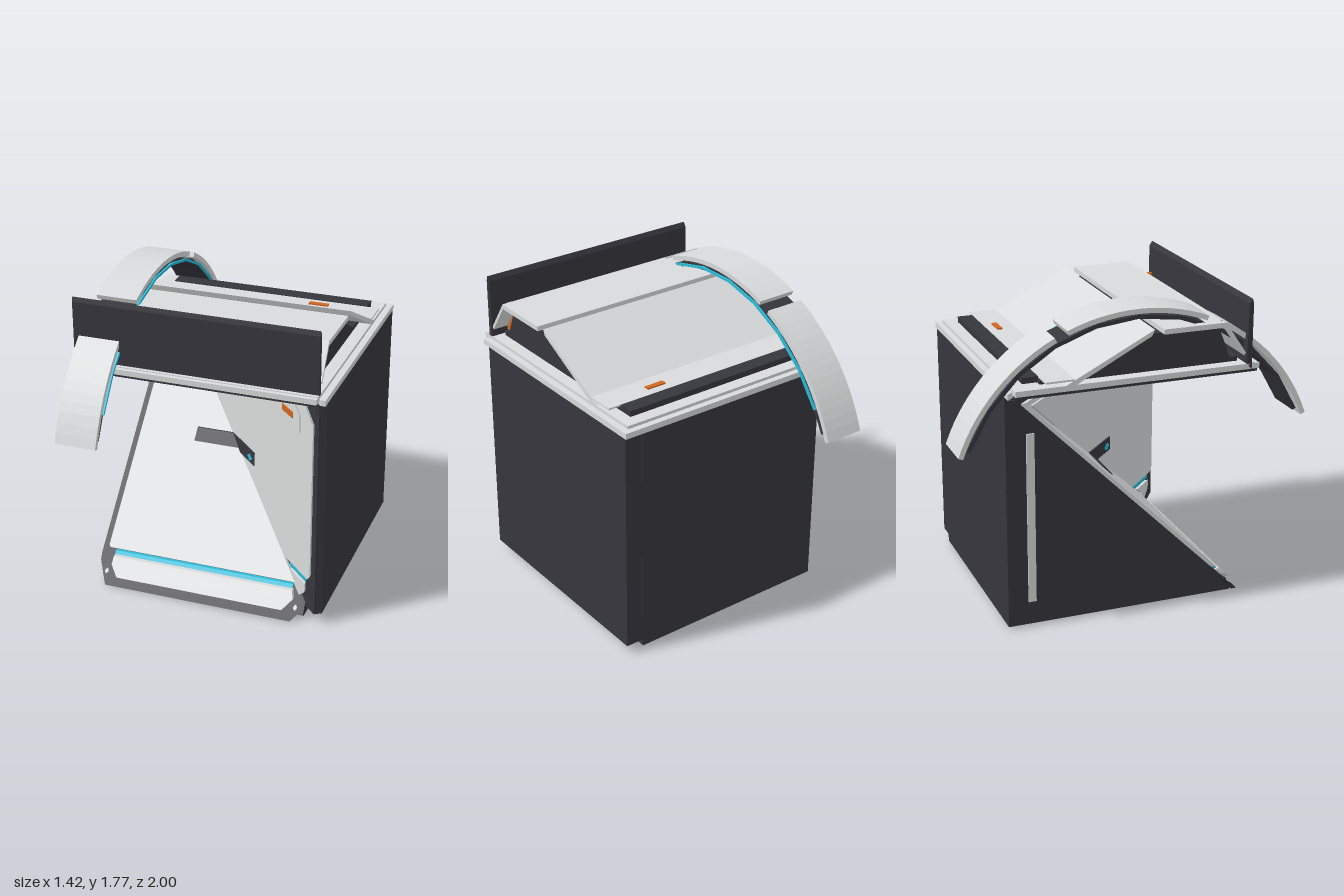
import * as THREE from 'three';

const mat = (name, color) => {
  const m = new THREE.MeshStandardMaterial({ color });
  m.name = name;
  return m;
};

export function createModel() {
  const root = new THREE.Group();
  root.name = 'openCubeShelter';
  const dark = mat('charcoal', 0x36363d);
  const light = mat('lightGrey', 0xd8dadb);
  const cyan = mat('cyan', 0x2abbd8);
  const orange = mat('orange', 0xd4661e);

  const add = (name, geo, material) => {
    const m = new THREE.Mesh(geo, material);
    m.name = name;
    root.add(m);
    return m;
  };
  const shape = pts => new THREE.Shape(pts.map(p => new THREE.Vector2(p[0], p[1])));
  const extrude = (pts, depth) =>
    new THREE.ExtrudeGeometry(shape(pts), { depth, bevelEnabled: false, curveSegments: 1 });
  const rect = (x0, x1, y0, y1) => [[x0, y0], [x1, y0], [x1, y1], [x0, y1]];

  // Box given by its limits
  const box = (name, x0, x1, y0, y1, z0, z1, material) =>
    add(name, new THREE.BoxGeometry(x1 - x0, y1 - y0, z1 - z0)
      .translate((x0 + x1) / 2, (y0 + y1) / 2, (z0 + z1) / 2), material);
  // Side profile of [z, y] points, spanning x0 to x1
  const acrossX = (name, pts, x0, x1, material) =>
    add(name, extrude(pts.map(([z, y]) => [-z, y]), x1 - x0)
      .rotateY(Math.PI / 2).translate(x0, 0, 0), material);
  // Plan outline of [x, z] points, spanning y0 to y1
  const upright = (name, pts, y0, y1, material) =>
    add(name, extrude(pts.map(([x, z]) => [x, -z]), y1 - y0)
      .rotateX(-Math.PI / 2).translate(0, y0, 0), material);
  // Plate drawn as a front outline, then sheared onto a slanted plane
  const sheared = (name, pts, z0, z1, material, rule) => {
    const g = extrude(pts, z1 - z0);
    const p = g.attributes.position;
    for (let i = 0; i < p.count; i++) p.setZ(i, p.getZ(i) + z0 + rule(p.getX(i), p.getY(i)));
    g.computeVertexNormals();
    return add(name, g, material);
  };
  const onRamp = (name, pts, z0, z1, m) => sheared(name, pts, z0, z1, m, (x, y) => 0.69 - y);
  const onWall = (name, pts, z0, z1, m) => sheared(name, pts, z0, z1, m, x => x);

  // Body: a ramp wedge joined to an upright diagonal wedge
  acrossX('rampBody', [[-0.724, 0.015], [0.6, 0.015], [0.62, 0.03], [-0.7, 1.35], [-0.724, 1.35]],
    -0.61, 0.6, dark);
  upright('wallBody', [[-0.61, -0.722], [0.705, -0.722], [0.705, 0.6], [0.665, 0.625], [-0.61, -0.65]],
    0.055, 1.36, dark);
  upright('wallCap', [[-0.69, -0.73], [0.707, -0.73], [0.707, 0.65], [0.68, 0.65]], 1.355, 1.388, light);
  box('leftSideStrip', -0.618, -0.609, 0.15, 1.13, -0.61, -0.565, light);

  // Ramp face
  onRamp('rampFrame', [[-0.655, 0.13], [-0.65, 0.1], [-0.585, 0.0], [0.535, 0.0], [0.6, 0.06],
    [0.6, 0.1], [-0.64, 1.34], [-0.655, 1.34]], -0.06, -0.03, dark);
  onRamp('rampPanel', [[-0.615, 0.18], [-0.605, 0.17], [0.52, 0.17], [-0.615, 1.3]], -0.03, 0, light);
  onRamp('rampCyanStripe', rect(-0.57, 0.51, 0.14, 0.156), -0.03, -0.012, cyan);
  onRamp('rampToe', [[-0.57, 0.135], [-0.57, 0.1], [-0.52, 0.05], [0.48, 0.05], [0.53, 0.1], [0.515, 0.135]],
    -0.03, 0, light);
  onRamp('rampHandle', [[-0.27, 0.68], [0.015, 0.68], [-0.05, 0.74], [-0.27, 0.74]], 0, 0.009, dark);
  for (const x of [-0.595, 0.55]) {
    onRamp('frameScrew', rect(x - 0.01, x + 0.01, 0.055, 0.065), -0.03, -0.024, light);
    onRamp('frameScrew', rect(x - 0.005, x + 0.005, 0.05, 0.07), -0.03, -0.024, light);
  }

  // Diagonal wall face
  onWall('wallFrame', [[-0.62, 1.31], [0.6, 0.09], [0.62, 0.07], [0.675, 0.1], [0.675, 1.29],
    [0.62, 1.35], [-0.62, 1.35]], -0.05, -0.025, dark);
  onWall('wallPanel', [[-0.61, 1.3], [0.42, 0.27], [0.62, 0.27], [0.64, 0.3], [0.64, 1.22], [0.575, 1.3]],
    -0.025, 0, light);
  onWall('wallUpperPlate', [[-0.57, 1.27], [-0.375, 1.065], [0.49, 1.065], [0.54, 1.12], [0.54, 1.225], [0.5, 1.27]],
    0, 0.015, light);
  onWall('wallOrangeTab', rect(0.398, 0.485, 1.182, 1.218), 0.015, 0.022, orange);
  onWall('wallCyanStripe', rect(0.47, 0.605, 0.235, 0.26), -0.025, -0.01, cyan);
  onWall('wallToe', [[0.48, 0.225], [0.52, 0.18], [0.5, 0.17], [0.555, 0.115], [0.6, 0.17], [0.6, 0.225]],
    -0.025, 0, light);
  onWall('wallHandle', [[-0.04, 0.74], [0.02, 0.66], [0.152, 0.66], [0.152, 0.74]], 0, 0.012, dark);
  onWall('handleMarker', rect(0.096, 0.131, 0.686, 0.702), 0.012, 0.018, cyan);
  onWall('handleMarker', rect(0.106, 0.121, 0.676, 0.712), 0.012, 0.018, cyan);

  // Lid
  box('lidUnderlayer', -0.705, 0.665, 1.358, 1.374, -0.69, 0.68, dark);
  box('lidSlab', -0.71, 0.67, 1.374, 1.405, -0.695, 0.69, light);
  box('rearPlate', -0.71, 0.67, 1.426, 1.436, -0.53, -0.37, light);
  box('rearBar', -0.6, 0.6, 1.4, 1.438, -0.622, -0.535, dark);
  box('rearOrangeTab', 0.27, 0.385, 1.436, 1.444, -0.482, -0.452, orange);

  // Raised roof with light cover panels
  acrossX('roofCore', [[0.59, 1.4], [0.59, 1.432], [0.545, 1.432], [0.475, 1.612], [0.1, 1.612],
    [-0.23, 1.428], [-0.54, 1.426], [-0.54, 1.4]], -0.64, 0.6, dark);
  acrossX('roofTopPanel', [[0.13, 1.622], [0.48, 1.622], [0.48, 1.65], [0.13, 1.65]], -0.71, 0.67, light);
  acrossX('roofFrontPanel', [[0.597, 1.455], [0.607, 1.47], [0.485, 1.652], [0.465, 1.65]], -0.71, 0.67, light);
  acrossX('roofRearPanel', [[0.075, 1.655], [0.06, 1.622], [-0.36, 1.405], [-0.42, 1.405]], -0.71, 0.67, light);
  box('roofCyanStripe', -0.6, 0.6, 1.612, 1.622, 0.085, 0.118, cyan);
  acrossX('roofOrangeFin', [[0.6, 1.43], [0.59, 1.6], [0.47, 1.6], [0.54, 1.43]], 0.552, 0.577, orange);

  // Front visor
  acrossX('visor', [[0.615, 1.405], [0.645, 1.37], [0.645, 1.74], [0.637, 1.767], [0.62, 1.74]], -0.71, 0.67, dark);
  box('visorTrim', -0.71, 0.67, 1.385, 1.41, 0.645, 0.665, light);

  // Side arch: three outer shells over a faceted liner
  const cy = 0.704;
  const arc = (r0, r1, a0, a1, n) => {
    const pts = [];
    for (let i = 0; i <= n; i++) {
      const a = a0 + (a1 - a0) * i / n;
      pts.push([r1 * Math.sin(a), cy + r1 * Math.cos(a)]);
    }
    for (let i = n; i >= 0; i--) {
      const a = a0 + (a1 - a0) * i / n;
      pts.push([r0 * Math.sin(a), cy + r0 * Math.cos(a)]);
    }
    return pts;
  };
  for (const [name, a0, a1] of [['archFront', 0.455, 1.22], ['archMiddle', -0.385, 0.385], ['archRear', -1.22, -0.455]])
    acrossX(name, arc(1.036, 1.064, a0, a1, 14), -0.68, -0.445, light);
  acrossX('archLiner', arc(1.005, 1.027, -1.18, 1.18, 10), -0.665, -0.455, dark);
  acrossX('archCyanEdge', arc(1.008, 1.022, -1.04, 1.04, 9), -0.455, -0.443, cyan);

  return root;
}
